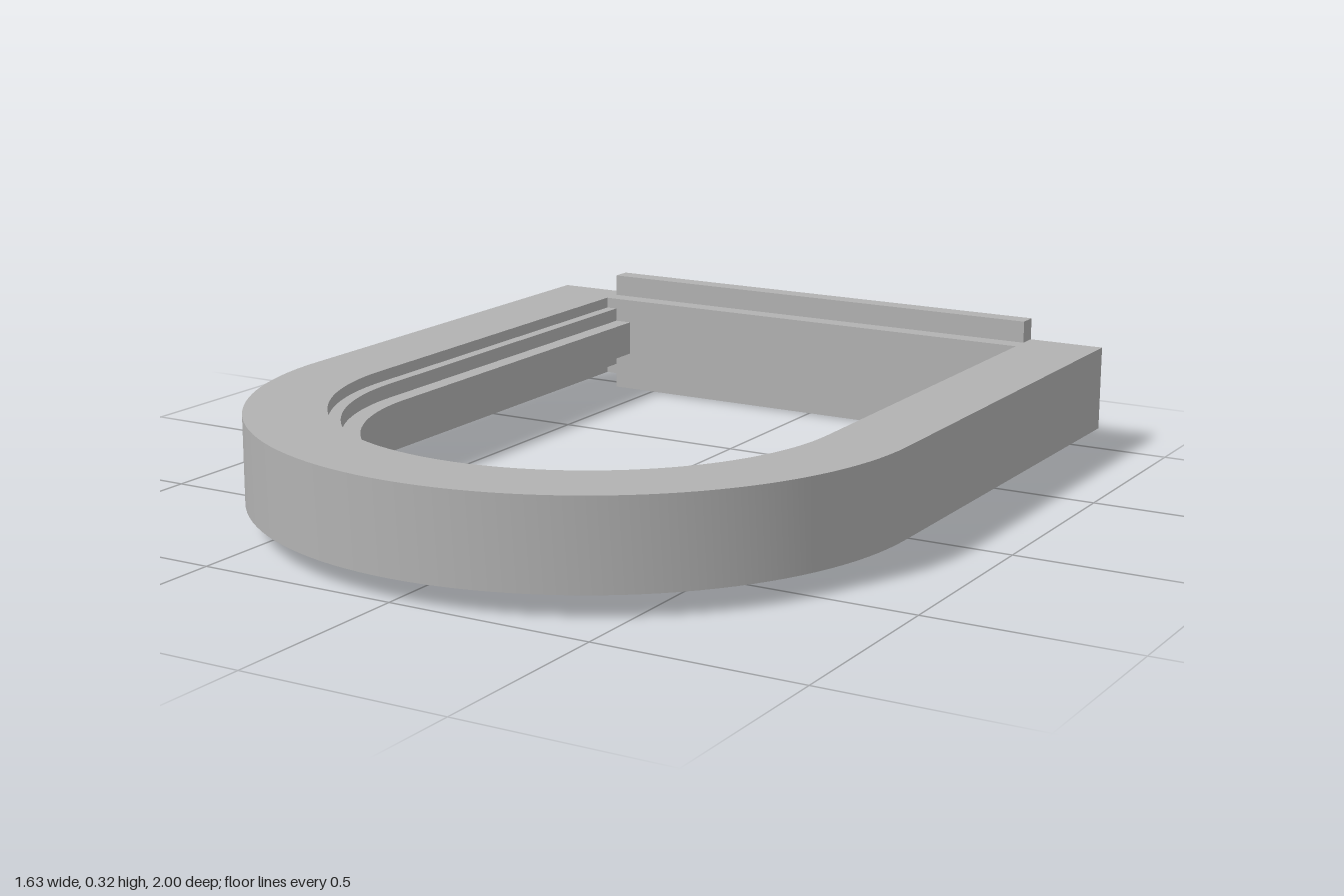
import * as THREE from 'three';
import { toCreasedNormals } from 'three/addons/utils/BufferGeometryUtils.js';

const ARC_Z = 0.182; // centre of the rounded end
const BACK_Z = -1;

// Stepped cross-section as [distance from the centre line, height]
const section = [
  [0.817, 0.053], [0.817, 0.268], [0.62, 0.268], [0.62, 0.24],
  [0.59, 0.24], [0.59, 0.205], [0.545, 0.205], [0.545, 0.115],
  [0.59, 0.115], [0.59, 0.08], [0.62, 0.08], [0.62, 0.053],
];

// Sweep the section down one leg, around the arch and back up the other leg
function archGeometry(segments = 64) {
  const stations = [{ angle: 0, leg: true }];
  for (let i = 0; i <= segments; i++) stations.push({ angle: (Math.PI * i) / segments });
  stations.push({ angle: Math.PI, leg: true });

  const point = ({ angle, leg }, [r, y]) => {
    // the inner steps stop inside the sill
    const z = leg ? (r < 0.62 ? -0.92 : BACK_Z) : ARC_Z + r * Math.sin(angle);
    return [r * Math.cos(angle), y, z];
  };

  const positions = [];
  const quad = (a, b, c, d) => positions.push(...a, ...b, ...c, ...a, ...c, ...d);
  for (let i = 0; i < stations.length - 1; i++) {
    section.forEach((p, j) => {
      const q = section[(j + 1) % section.length];
      quad(point(stations[i], p), point(stations[i], q),
        point(stations[i + 1], q), point(stations[i + 1], p));
    });
  }

  // Flat ends of the two legs
  const cap = [section[0], section[11], section[2], section[1]];
  const last = stations[stations.length - 1];
  quad(...cap.map((p) => point(stations[0], p)));
  quad(...cap.map((p) => point(last, p)).reverse());

  const geometry = new THREE.BufferGeometry();
  geometry.setAttribute('position', new THREE.Float32BufferAttribute(positions, 3));
  return toCreasedNormals(geometry, Math.PI / 6);
}

export function createModel() {
  const group = new THREE.Group();
  group.name = 'archedFrame';
  const grey = new THREE.MeshStandardMaterial({ color: 0xb2b2b2 });
  grey.name = 'grey';

  const add = (name, geometry, x = 0, y = 0, z = 0) => {
    const mesh = new THREE.Mesh(geometry, grey);
    mesh.name = name;
    mesh.position.set(x, y, z);
    group.add(mesh);
  };

  // U-shaped frame with stepped inner rebates
  add('archFrame', archGeometry());

  // Sill: a tall outer plate and a lower inner ledge
  add('sillPlate', new THREE.BoxGeometry(1.24, 0.324, 0.05), 0, 0.162, -0.975);
  add('sillLedge', new THREE.BoxGeometry(1.24, 0.215, 0.05), 0, 0.1605, -0.925);

  return group;
}
